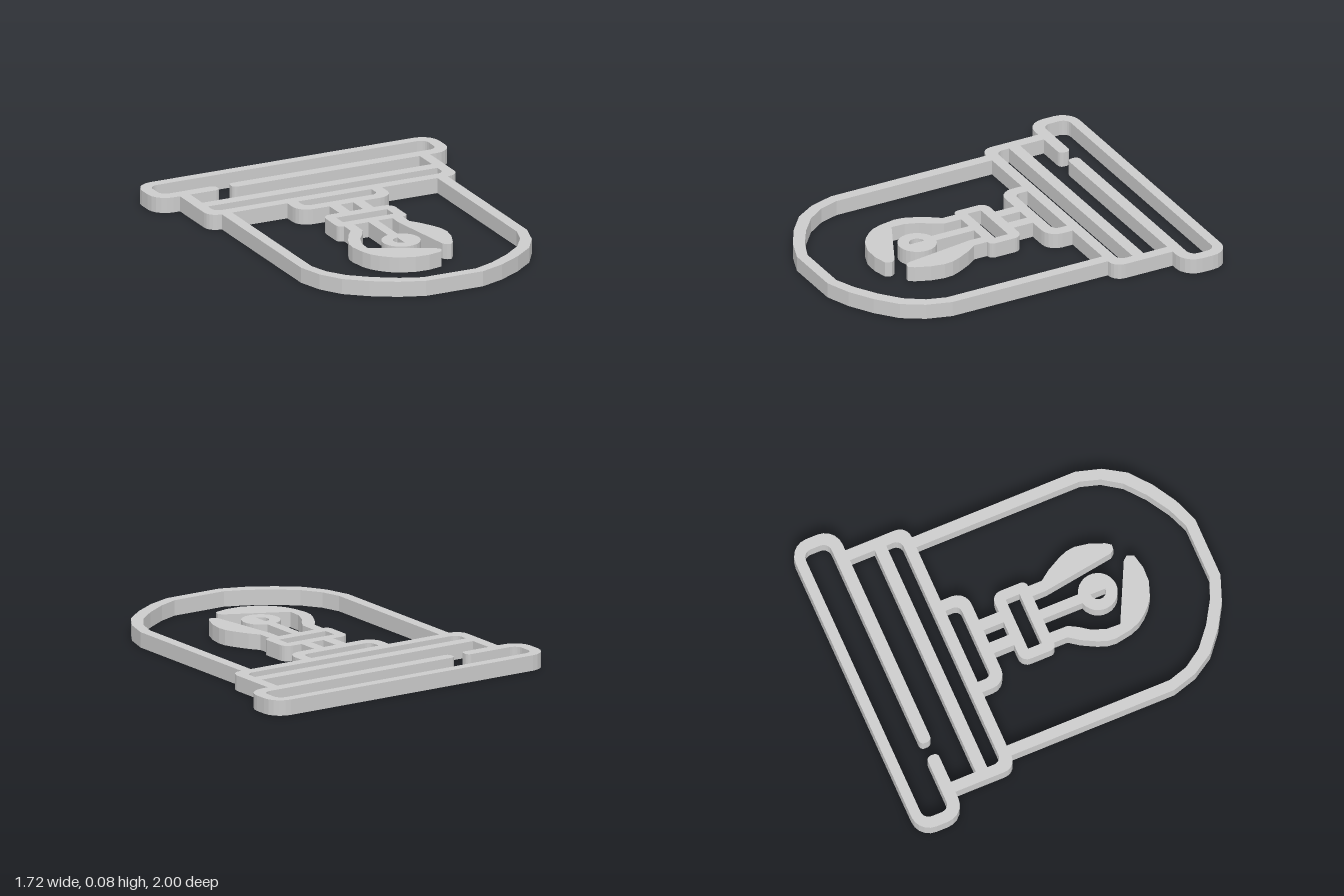
import * as THREE from 'three';
import { mergeGeometries } from 'three/addons/utils/BufferGeometryUtils.js';

const HEIGHT = 0.083;
const K = 0.5523; // cubic approximation of a quarter circle
const OPEN = true; // marks an edge that joins a neighbouring part, so has no wall

// Corners [x, z, radius, open] become points with rounded corners; shape y is -z
function trace(corners) {
  const base = corners.map(([x, z]) => new THREE.Vector2(x, -z));
  return corners.flatMap(([, , r = 0, open = false], i) => {
    const p = base[i];
    if (!r) return [{ p, open }];
    const toward = (q, d) => p.clone().add(q.clone().sub(p).setLength(d));
    const prev = base[(i + base.length - 1) % base.length];
    const next = base[(i + 1) % base.length];
    const arc = new THREE.CubicBezierCurve(
      toward(prev, r), toward(prev, r * (1 - K)), toward(next, r * (1 - K)), toward(next, r));
    return arc.getPoints(5).map((q) => ({ p: q, open: false }));
  });
}

// Upright walls along a closed outline, facing away from the material
function walls(points, isHole) {
  const flip = THREE.ShapeUtils.isClockWise(points.map((c) => c.p)) === isHole;
  const pos = [];
  points.forEach(({ p, open }, i) => {
    if (open) return;
    const next = points[(i + 1) % points.length].p;
    const [a, b] = flip ? [next, p] : [p, next];
    pos.push(a.x, 0, -a.y, a.x, HEIGHT, -a.y, b.x, HEIGHT, -b.y);
    pos.push(a.x, 0, -a.y, b.x, HEIGHT, -b.y, b.x, 0, -b.y);
  });
  return new THREE.BufferGeometry().setAttribute('position', new THREE.Float32BufferAttribute(pos, 3));
}

// Shell with a flat top and walls, open underneath
function shell(corners, holes) {
  const outer = trace(corners);
  const inner = holes.map(trace);
  const shape = new THREE.Shape(outer.map((c) => c.p));
  shape.holes = inner.map((h) => new THREE.Path(h.map((c) => c.p)));
  const top = new THREE.ShapeGeometry(shape).toNonIndexed();
  top.deleteAttribute('uv');
  top.deleteAttribute('normal');
  top.rotateX(-Math.PI / 2).translate(0, HEIGHT, 0);
  const geometry = mergeGeometries([top, walls(outer, false), ...inner.map((h) => walls(h, true))]);
  geometry.computeVertexNormals();
  return geometry;
}

const seam = (z, x0, x1) => [[x0, z, 0, OPEN], [x1, z]];
const mirrored = (corners) => corners.map(([x, z]) => [-x, z]).reverse();

function circlePoints(radius, centreZ, from, to, steps) {
  return Array.from({ length: steps + 1 }, (_, i) => {
    const t = from + ((to - from) * i) / steps;
    return [radius * Math.sin(t), centreZ - radius * Math.cos(t)];
  });
}

export function createModel() {
  const group = new THREE.Group();
  const material = new THREE.MeshStandardMaterial({
    color: 0xcccccc, flatShading: true, side: THREE.DoubleSide,
  });

  function add(name, corners, holes = []) {
    const mesh = new THREE.Mesh(shell(corners, holes), material);
    mesh.name = name;
    group.add(mesh);
  }

  // Long rounded loop at the back, with a small gap in its front bar
  add('topLoop', [
    [-0.49, -0.735, 0.025], ...seam(-0.735, -0.665, -0.725), [-0.862, -0.735, 0.1],
    [-0.862, -1, 0.1], [0.862, -1, 0.1], [0.862, -0.735, 0.1], ...seam(-0.735, 0.725, 0.665),
    [-0.415, -0.735, 0.025], [-0.415, -0.8, 0.025], [0.8, -0.8, 0.045], [0.8, -0.945, 0.045],
    [-0.8, -0.945, 0.045], [-0.8, -0.8, 0.045], [-0.49, -0.8, 0.025],
  ]);

  // Frame with a slot between its two cross bars
  add('crossBarFrame', [
    ...seam(-0.735, -0.725, -0.665), [-0.665, -0.595], [0.665, -0.595],
    ...seam(-0.735, 0.665, 0.725), [0.725, -0.39, 0.065],
    ...seam(-0.39, 0.655, 0.595), ...seam(-0.39, 0.275, 0.213),
    ...seam(-0.39, -0.213, -0.275), ...seam(-0.39, -0.595, -0.655), [-0.725, -0.39, 0.065],
  ], [
    [[-0.665, -0.53], [0.665, -0.53], [0.665, -0.45, 0.04], [-0.665, -0.45, 0.04]],
  ]);

  // Large U-shaped band
  const outerBend = [[0.165, 1], [0.3, 0.95], [0.43, 0.873], [0.543, 0.78], [0.615, 0.665], [0.655, 0.53]];
  const innerBend = [[0.155, 0.942], [0.267, 0.897], [0.39, 0.822], [0.495, 0.735], [0.563, 0.635], [0.595, 0.53]];
  add('archBand', [
    [-0.655, -0.39], ...mirrored(outerBend), ...outerBend, ...seam(-0.39, 0.655, 0.595),
    ...[...innerBend].reverse(), ...mirrored(innerBend).reverse(), [-0.595, -0.39, 0, OPEN],
  ]);

  // Small bracket under the frame
  add('bracket', [
    [-0.275, -0.39], [-0.275, -0.25, 0.08], ...seam(-0.25, -0.1, -0.037), ...seam(-0.25, 0.037, 0.1),
    [0.275, -0.25, 0.08], ...seam(-0.39, 0.275, 0.213), [0.213, -0.312, 0.035],
    [-0.213, -0.312, 0.035], [-0.213, -0.39, 0, OPEN],
  ]);

  // Twin stems
  for (const [name, x0, x1] of [['leftStem', 0.037, 0.1], ['rightStem', -0.1, -0.037]]) {
    add(name, [...seam(-0.25, x0, x1), ...seam(-0.137, x1, x0)]);
  }

  // Collar
  add('collar', [
    [-0.203, -0.137, 0.05], ...seam(-0.137, -0.1, -0.037), ...seam(-0.137, 0.037, 0.1),
    [0.203, -0.137, 0.05], [0.203, 0.058, 0.03], ...seam(0.058, 0.17, 0.11),
    ...seam(0.058, 0.027, -0.027), ...seam(0.058, -0.11, -0.17), [-0.203, 0.058, 0.03],
  ], [
    [[-0.147, -0.078], [0.147, -0.078], [0.147, 0], [-0.147, 0]],
  ]);

  // Claws
  add('longClaw', [
    [-0.17, 0.058], [-0.17, 0.135], [-0.21, 0.19], [-0.25, 0.265], [-0.27, 0.315], [-0.275, 0.365],
    [-0.26, 0.455], [-0.241, 0.506], [-0.21, 0.55], [-0.172, 0.588], [-0.13, 0.617], [-0.05, 0.645],
    [0.03, 0.648], [0.11, 0.63], [0.125, 0.595], [0.105, 0.57], [-0.21, 0.415], [-0.207, 0.34],
    [-0.18, 0.265], [-0.14, 0.21], [-0.112, 0.16], [-0.11, 0.058, 0, OPEN],
  ]);
  add('shortClaw', [
    [0.11, 0.058], [0.11, 0.135], [0.168, 0.525], [0.185, 0.545], [0.21, 0.547], [0.23, 0.52],
    [0.262, 0.44], [0.275, 0.365], [0.27, 0.315], [0.25, 0.265], [0.21, 0.19], [0.17, 0.135],
    [0.17, 0.058, 0, OPEN],
  ]);

  // Centre rod with a round end and a half-moon hole
  const notch = Math.asin(0.027 / 0.103);
  add('centreRod', [
    ...seam(0.058, -0.027, 0.027), ...circlePoints(0.103, 0.379, notch, Math.PI * 2 - notch, 24),
  ], [circlePoints(0.042, 0.379, Math.PI, Math.PI * 2, 10)]);

  return group;
}
